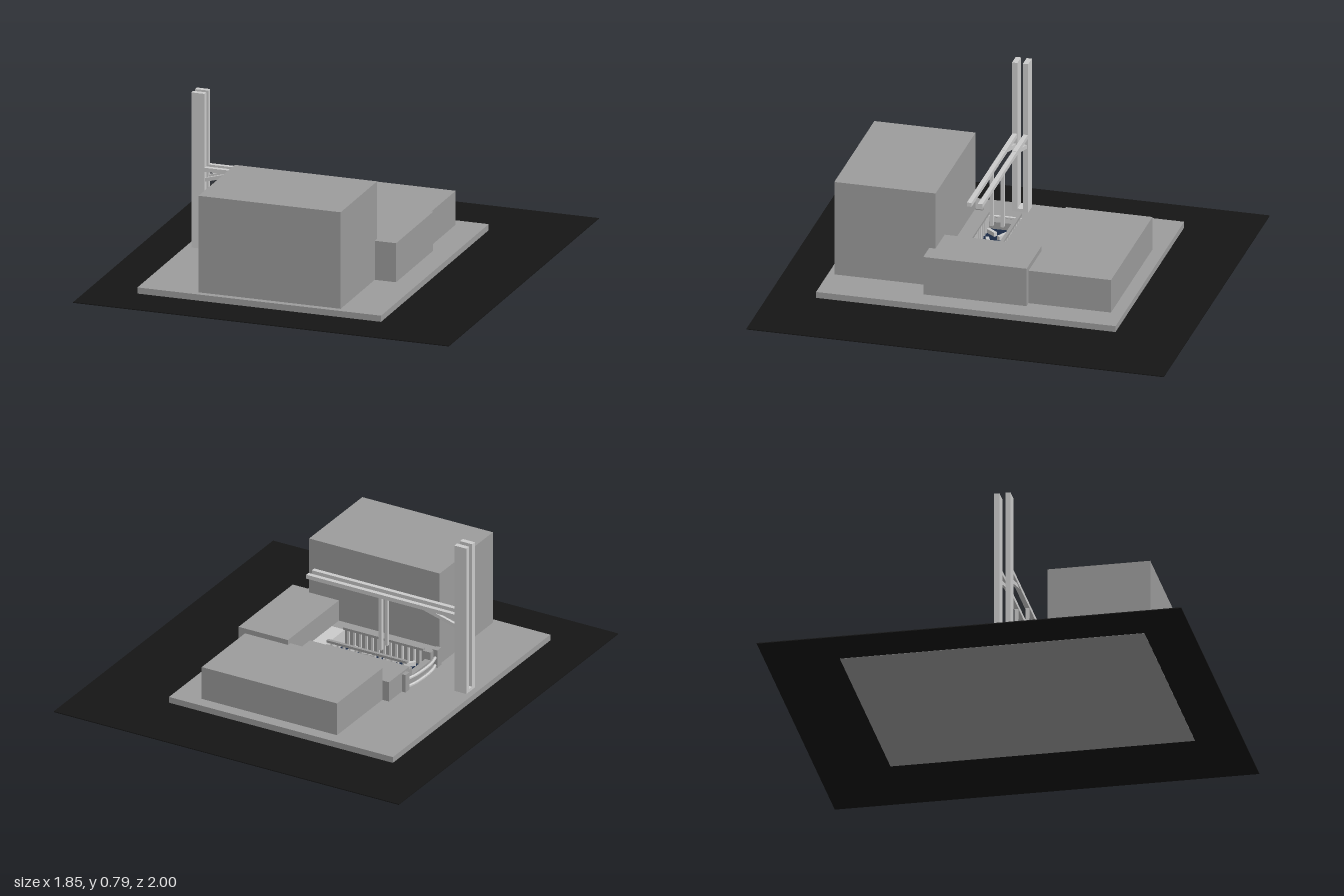
import * as THREE from 'three';

const mat = (color) => new THREE.MeshStandardMaterial({ color, flatShading: true });

export function createModel() {
  const model = new THREE.Group();
  const light = mat(0xcccccc), grey = mat(0x9c9c9c), black = mat(0x151515), blue = mat(0x1a2a44);

  // Box given by its extents on each axis
  const box = (name, x0, x1, y0, y1, z0, z1, m = grey, parent = model) => {
    const mesh = new THREE.Mesh(new THREE.BoxGeometry(x1 - x0, y1 - y0, z1 - z0), m);
    mesh.name = name;
    mesh.position.set((x0 + x1) / 2, (y0 + y1) / 2, (z0 + z1) / 2);
    parent.add(mesh);
    return mesh;
  };
  const group = (name) => {
    const g = new THREE.Group();
    g.name = name;
    model.add(g);
    return g;
  };

  // Ground sheet and raised base
  box('ground', -0.925, 0.925, 0.001, 0.005, -1, 1, black);
  box('base', -0.69, 0.51, 0, 0.035, -0.655, 0.78);

  // Main blocks
  const F = 0.034;
  box('frontBuilding', -0.4, 0.3, F, 0.505, 0.265, 0.75);
  box('sideBuilding', 0.14, 0.405, F, 0.225, -0.2, 0.295);
  box('backBuilding', -0.355, 0.37, F, 0.2, -0.595, -0.18);
  box('terrace', -0.39, 0.14, F, 0.135, -0.18, 0);

  // Sunken basin with a raised rim
  const basin = group('basin');
  box('basinFloor', -0.36, 0.07, F, 0.045, 0.03, 0.2, blue, basin);
  box('basinEnd', 0.07, 0.14, F, 0.12, 0, 0.2, light, basin);
  box('basinWalkway', -0.39, 0.14, F, 0.12, 0.2, 0.265, grey, basin);
  box('basinBackWall', -0.39, 0.07, F, 0.12, 0, 0.03, grey, basin);
  box('basinGate', -0.39, -0.36, F, 0.08, 0, 0.2, grey, basin);

  // Rows of posts along both long sides of the basin, with rails on top
  for (const z of [0.04, 0.19]) {
    for (let i = 0; i < 13; i++) {
      const x = -0.34 + i * 0.032;
      box('basinPost', x - 0.005, x + 0.005, 0.045, 0.13, z - 0.005, z + 0.005, light, basin);
    }
    box('basinRail', -0.36, 0.07, 0.128, 0.14, z - 0.008, z + 0.008, grey, basin);
  }

  // Loose beams lying on the basin floor
  const beams = [[-0.3, 0.16, 0.9], [-0.2, 0.15, 0.4], [-0.1, 0.14, 0], [-0.05, 0.16, -0.3],
    [0.0, 0.15, 1.4], [-0.27, 0.1, -0.5], [-0.13, 0.09, 1.1], [0.0, 0.08, 0.2]];
  for (const [x, z, turn] of beams) {
    const beam = box('floorBeam', x - 0.03, x + 0.03, 0.045, 0.065, z - 0.008, z + 0.008, light, basin);
    beam.rotation.y = turn;
  }

  // Gate piers and the bowed pipe rail between them
  const entrance = group('entrance');
  for (const z of [-0.045, 0.245]) box('gatePier', -0.41, -0.385, F, 0.125, z - 0.018, z + 0.018, grey, entrance);
  for (const y of [0.045, 0.085]) {
    const curve = new THREE.CatmullRomCurve3([
      new THREE.Vector3(-0.395, y, -0.03), new THREE.Vector3(-0.41, y, 0.04),
      new THREE.Vector3(-0.412, y, 0.17), new THREE.Vector3(-0.395, y, 0.24)]);
    const rail = new THREE.Mesh(new THREE.TubeGeometry(curve, 16, 0.007, 6), light);
    rail.name = 'gateRail';
    entrance.add(rail);
  }

  // Twin mast crane: posts, long arms, braces and hanging poles
  const crane = group('crane');
  box('mastFoot', -0.66, -0.595, F, 0.05, 0.068, 0.142, light, crane);
  for (const side of [-1, 1]) {
    const z = 0.105 + side * 0.026;
    box('mastPost', -0.66, -0.595, F, 0.79, z - 0.0125, z + 0.0125, light, crane);
    box('craneArm', -0.6, 0.2, 0.41, 0.43, z - 0.011, z + 0.011, light, crane);
    box('hangingPole', -0.203, -0.187, 0.14, 0.412, z - 0.008, z + 0.008, light, crane);

    const brace = box('armBrace', -0.105, 0.105, -0.009, 0.009, -0.007, 0.007, light, crane);
    brace.position.set(-0.5, 0.396, z);
    brace.rotation.z = Math.atan2(0.055, 0.2);
  }
  return model;
}
